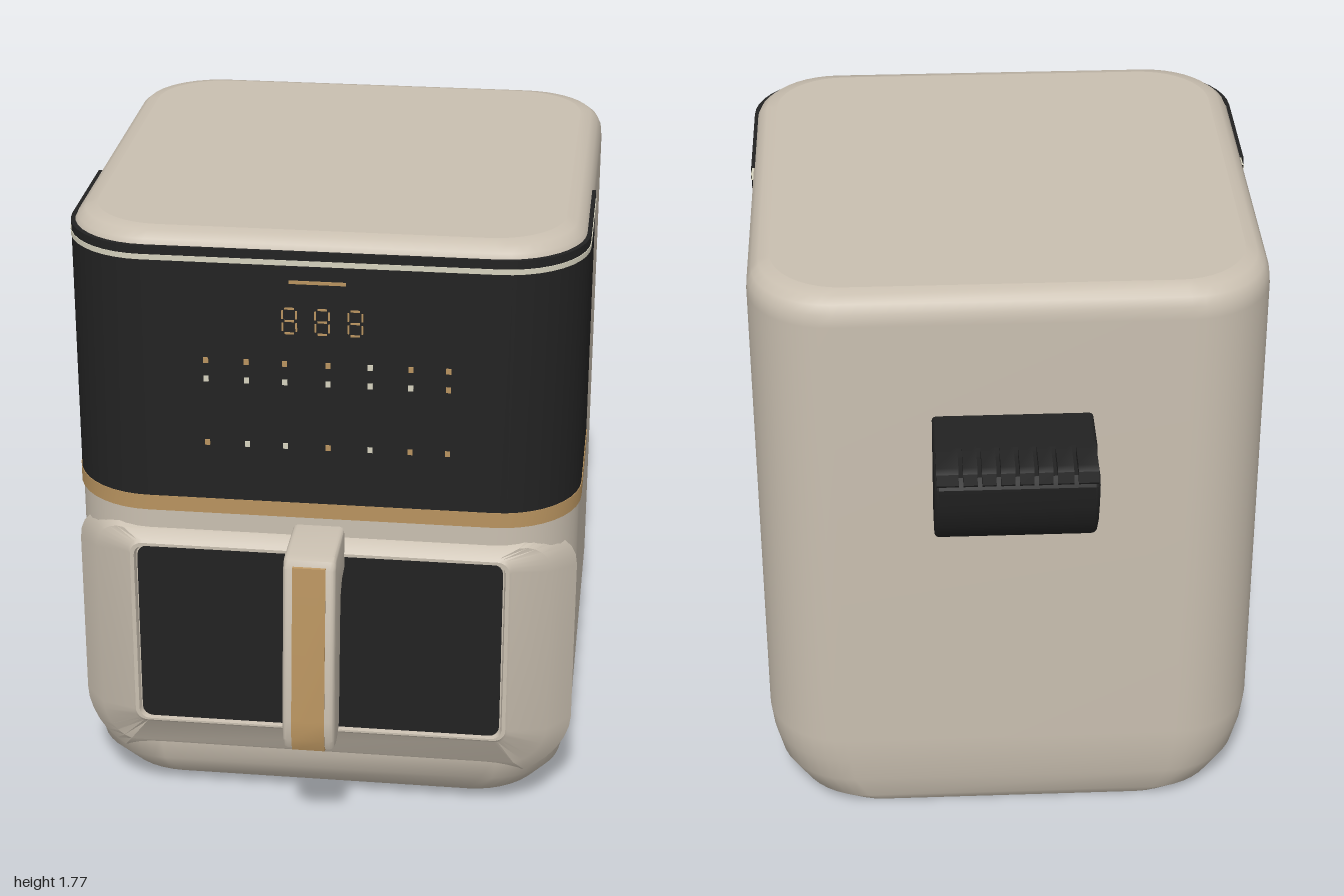
import * as THREE from 'three';
import { toCreasedNormals } from 'three/addons/utils/BufferGeometryUtils.js';

const mat = (name, color, side = THREE.FrontSide) => {
  const m = new THREE.MeshStandardMaterial({ color, side });
  m.name = name;
  return m;
};

// Rounded rectangle outline, starting on the +u side
function roundRect(hu, v0, v1, r, n = 10) {
  const pts = [];
  for (let c = 0; c < 4; c++) {
    const cu = c === 0 || c === 3 ? hu - r : r - hu;
    const cv = c < 2 ? v1 - r : v0 + r;
    for (let i = 0; i <= n; i++) {
      const a = (c + i / n) * Math.PI / 2;
      pts.push([cu + r * Math.cos(a), cv + r * Math.sin(a)]);
    }
  }
  return pts;
}

// Skin through rings of equal point count, with optional flat end caps
function loft(rings, { closed = true, capStart = false, capEnd = false } = {}) {
  const n = rings[0].length, pos = rings.flat(2), idx = [];
  for (let i = 0; i < rings.length - 1; i++) {
    for (let j = 0; j < (closed ? n : n - 1); j++) {
      const k = (j + 1) % n;
      const a = i * n + j, b = i * n + k, c = a + n, d = b + n;
      idx.push(a, c, b, b, c, d);
    }
  }
  const cap = (ring, flip) => {
    const base = pos.length / 3;
    pos.push(...ring.flat());
    pos.push(...[0, 1, 2].map(k => ring.reduce((s, p) => s + p[k], 0) / n));
    for (let j = 0; j < n; j++) {
      const a = base + j, b = base + (j + 1) % n;
      idx.push(base + n, ...(flip ? [b, a] : [a, b]));
    }
  };
  if (capStart) cap(rings[0], false);
  if (capEnd) cap(rings[rings.length - 1], true);
  const g = new THREE.BufferGeometry();
  g.setAttribute('position', new THREE.Float32BufferAttribute(pos, 3));
  g.setIndex(idx);
  g.computeVertexNormals();
  return g;
}

// Side profile of [z, y] points, extruded across x and centred on x = 0
function sideExtrude(profile, width, bevel = 0) {
  const shape = new THREE.Shape(profile.map(p => new THREE.Vector2(...p)));
  const depth = width - 2 * bevel;
  const g = new THREE.ExtrudeGeometry(shape, {
    depth, bevelEnabled: bevel > 0, bevelThickness: bevel,
    bevelSize: bevel, bevelOffset: -bevel, bevelSegments: 3,
  });
  g.translate(0, 0, -depth / 2);
  g.rotateY(-Math.PI / 2);
  return toCreasedNormals(g, 0.6);
}

export function createModel() {
  const root = new THREE.Group();
  root.name = 'airFryer';
  const shell = mat('warm beige', 0xc9bfb0);
  const black = mat('black', 0x222222);
  const blackSheet = mat('panel black', 0x222222, THREE.DoubleSide);
  const gold = mat('gold', 0xb8935f, THREE.DoubleSide);
  const cream = mat('cream', 0xd6d2be, THREE.DoubleSide);
  const add = (name, geo, material, parent = root) => {
    const m = new THREE.Mesh(geo, material);
    m.name = name;
    parent.add(m);
    return m;
  };

  // Body: [y, half width, front z, back z, corner radius]
  const sections = [
    [0, 0.57, 0.57, -0.65, 0.19], [0.04, 0.635, 0.64, -0.68, 0.21],
    [0.12, 0.685, 0.705, -0.70, 0.22], [0.2, 0.706, 0.715, -0.71, 0.23],
    [0.28, 0.715, 0.715, -0.716, 0.23], [1, 0.715, 0.715, -0.718, 0.23],
    [1.69, 0.715, 0.715, -0.718, 0.23], [1.725, 0.712, 0.712, -0.713, 0.23],
    [1.75, 0.7, 0.7, -0.7, 0.22], [1.768, 0.68, 0.68, -0.68, 0.21],
    [1.775, 0.65, 0.65, -0.65, 0.2],
  ];
  add('body', loft(sections.map(([y, hx, zf, zb, r]) =>
    roundRect(hx, zb, zf, r).map(([x, z]) => [x, y, z])), { capStart: true, capEnd: true }), shell);

  // Bands wrapped around the front half
  const wrap = (name, y0, y1, out, material) => {
    const h = 0.715 + out;
    const path = [[h, 0.13], ...roundRect(h, -h, h, 0.23 + out).slice(0, 22), [-h, 0.13]];
    const inner = path.map(([x, z]) => [x * 0.985, z === 0.13 ? z : z * 0.985]);
    const ring = (p, y) => p.map(([x, z]) => [x, y, z]);
    const g = loft([ring(inner, y0), ring(path, y0), ring(path, y1), ring(inner, y1)], { closed: false });
    add(name, toCreasedNormals(g, 0.6), material);
  };
  wrap('controlPanel', 0.99, 1.737, 0.004, blackSheet);
  wrap('goldBand', 0.945, 0.99, 0.006, gold);
  wrap('creamStripe', 1.698, 1.713, 0.006, cream);

  // Display markings
  const display = new THREE.Group();
  display.name = 'display';
  root.add(display);
  const plate = (name, x, y, w, h, material) =>
    add(name, new THREE.BoxGeometry(w, h, 0.006), material, display).position.set(x, y, 0.7195);
  plate('indicatorBar', -0.003, 1.651, 0.155, 0.009, gold);
  for (const x of [-0.08, 0.01, 0.1]) {
    for (const y of [1.502, 1.538, 1.574]) plate('digitBar', x, y, 0.026, 0.005, gold);
    for (const s of [-1, 1])
      for (const y of [1.52, 1.556]) plate('digitBar', x + s * 0.019, y, 0.005, 0.024, gold);
  }
  const columns = [-0.312, -0.2, -0.094, 0.025, 0.141, 0.252, 0.355];
  const rows = [[1.411, 'ggggcgg'], [1.356, 'ccccccg'], [1.164, 'gccgcgg']];
  for (const [y, tones] of rows)
    columns.forEach((x, i) => plate('icon', x, y, 0.014, 0.016, tones[i] === 'g' ? gold : cream));

  // Drawer front wrapping the rounded corners: rings from the back to the window recess
  const face = (hx, y0, y1, r, zAt) =>
    roundRect(hx, y0, y1, r, 6).map(([x, y]) => [-x, y, zAt(Math.abs(x))]);
  const bend = (x0, z0, x1, z1) => x =>
    THREE.MathUtils.lerp(z0, z1, THREE.MathUtils.clamp((x - x0) / (x1 - x0), 0, 1));
  const outer = bend(0.56, 0.695, 0.718, 0.575);
  const drawer = loft([
    face(0.7, 0.15, 0.89, 0.13, x => outer(x) - 0.06),
    face(0.718, 0.14, 0.9, 0.13, outer),
    face(0.65, 0.19, 0.885, 0.09, bend(0.54, 0.731, 0.65, 0.675)),
    face(0.545, 0.27, 0.862, 0.04, () => 0.748),
    face(0.537, 0.278, 0.855, 0.035, () => 0.755),
    face(0.526, 0.284, 0.846, 0.03, () => 0.755),
    face(0.522, 0.287, 0.842, 0.03, () => 0.738),
  ], { capEnd: true });
  add('drawerFront', toCreasedNormals(drawer, 0.5), shell);
  const pane = new THREE.Shape(roundRect(0.518, 0.288, 0.84, 0.03, 4).map(p => new THREE.Vector2(...p)));
  const window_ = new THREE.ExtrudeGeometry(pane, { depth: 0.007, bevelEnabled: false });
  add('drawerWindow', window_.translate(0, 0, 0.737), black);

  // Handle with a gold inlay on its front
  const handle = new THREE.Group();
  handle.name = 'handle';
  root.add(handle);
  add('handleGrip', sideExtrude([
    [0.735, 0.93], [0.915, 0.93], [0.935, 0.922], [0.947, 0.9], [0.995, 0.45], [0.993, 0.385],
    [0.98, 0.355], [0.935, 0.345], [0.89, 0.358], [0.866, 0.38], [0.862, 0.41],
    [0.832, 0.7], [0.822, 0.76], [0.795, 0.79], [0.735, 0.8],
  ].reverse(), 0.146, 0.014), shell, handle);
  add('handleInlay', sideExtrude([
    [0.925, 0.912], [0.949, 0.905], [0.999, 0.45], [1, 0.39],
    [0.987, 0.352], [0.965, 0.346], [0.965, 0.45], [0.92, 0.88],
  ].reverse(), 0.092), gold, handle);

  // Rear vent cover with slots cut between ribs along its top
  const vent = new THREE.Group();
  vent.name = 'rearVent';
  root.add(vent);
  add('ventCover', sideExtrude([
    [-0.7, 1.405], [-0.88, 1.405], [-0.885, 1.38], [-0.985, 1.38], [-1, 1.35], [-0.99, 1.28],
    [-0.965, 1.21], [-0.92, 1.15], [-0.86, 1.105], [-0.79, 1.09], [-0.73, 1.09], [-0.7, 1.1],
  ], 0.44, 0.012), black, vent);
  const slots = [-0.155, -0.1, -0.05, 0, 0.05, 0.1, 0.15];
  const edges = [-0.215, ...slots.flatMap(x => [x - 0.006, x + 0.006]), 0.215];
  for (let i = 0; i < edges.length; i += 2) {
    const rib = sideExtrude([
      [-0.86, 1.405], [-0.975, 1.405], [-0.992, 1.395], [-1, 1.365], [-0.985, 1.34], [-0.86, 1.36],
    ], edges[i + 1] - edges[i]);
    add('ventRib', rib, black, vent).position.x = (edges[i] + edges[i + 1]) / 2;
  }
  return root;
}
